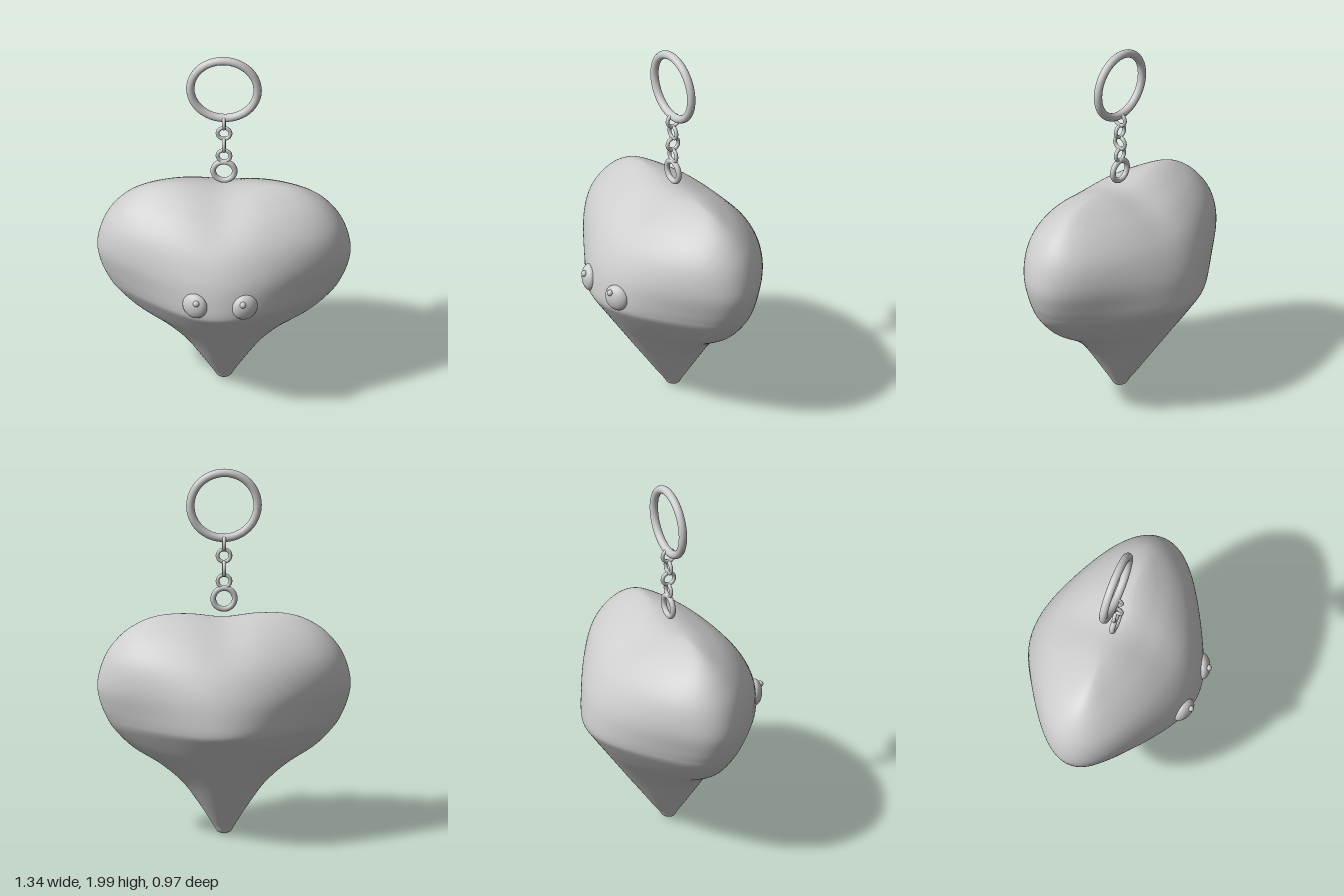
import * as THREE from 'three';
import { mergeVertices } from 'three/addons/utils/BufferGeometryUtils.js';

const grey = new THREE.MeshStandardMaterial({ color: 0xcccccc });
grey.name = 'plain grey';
const CENTRE_Z = -0.012;

// Level sections of the body: [half width, height, half depth]
const SECTIONS = [
  [0.002, 0.008, 0.002], [0.035, 0.018, 0.033], [0.055, 0.05, 0.054], [0.085, 0.1, 0.092],
  [0.15, 0.2, 0.163], [0.225, 0.3, 0.235], [0.34, 0.4, 0.305], [0.495, 0.5, 0.375],
  [0.59, 0.6, 0.445], [0.613, 0.636, 0.467], [0.625, 0.66, 0.472], [0.647, 0.71, 0.469],
  [0.67, 0.81, 0.449], [0.659, 0.9, 0.412], [0.62, 1.0, 0.349], [0.54, 1.1, 0.25],
  [0.445, 1.165, 0.15], [0.37, 1.194, 0.088], [0.29, 1.208, 0.038], [0.22, 1.211, 0],
];

// Heart-shaped body, lofted through round-ended lens sections with a notch on top
function bodyGeometry() {
  const { lerp, smoothstep } = THREE.MathUtils;
  const rows = 130, cols = 112, pos = [], index = [];
  const path = new THREE.CatmullRomCurve3(SECTIONS.map((s) => new THREE.Vector3(...s)));
  for (let i = 0; i <= rows; i++) {
    const p = path.getPoint(i / rows);
    // 1 gives an ellipse, lower values pinch the section towards its ends
    const round = lerp(0.95, 0.63, smoothstep(p.y, 0.1, 0.6)) + 0.32 * smoothstep(p.y, 0.65, 1.08);
    const notch = 0.026 * smoothstep(p.y, 0.9, 1.21);
    for (let j = 0; j < cols; j++) {
      const t = (j / cols) * Math.PI * 2, s = Math.sin(t), c = Math.cos(t);
      const bell = (Math.sign(c) * (1 + Math.cos(s * Math.PI))) / 2;
      const x = p.x * s;
      const z = Math.max(p.z, 0) * lerp(bell, c, round);
      pos.push(x, p.y - notch * Math.exp(-((x / 0.14) ** 2)), z + CENTRE_Z);
      if (i < rows) {
        const k = (j + 1) % cols, a = i * cols, b = a + cols;
        index.push(a + j, a + k, b + k, a + j, b + k, b + j);
      }
    }
  }
  const g = new THREE.BufferGeometry();
  g.setAttribute('position', new THREE.Float32BufferAttribute(pos, 3));
  g.setIndex(index);
  const merged = mergeVertices(g, 1e-4);
  merged.computeVertexNormals();
  return merged;
}

export function createModel() {
  const model = new THREE.Group();
  model.name = 'heartKeychain';

  const add = (name, geometry, x, y, z) => {
    const mesh = new THREE.Mesh(geometry, grey);
    mesh.name = name;
    mesh.position.set(x, y, z);
    model.add(mesh);
    return mesh;
  };

  add('body', bodyGeometry(), 0, 0, 0);
  // Small rounded nub at the point
  add('tip', new THREE.SphereGeometry(0.048, 24, 16), 0, 0.054, CENTRE_Z);

  // Flattened eyes with bead pupils
  for (const side of [1, -1]) {
    const name = side > 0 ? 'left' : 'right';
    const eye = add(name + 'Eye', new THREE.SphereGeometry(1, 32, 20), side * 0.132, 0.72, 0.427);
    eye.scale.set(0.07, 0.072, 0.042);
    eye.rotation.y = side * 0.4;
    add(name + 'Pupil', new THREE.SphereGeometry(0.017, 16, 12), side * 0.124, 0.756, 0.466);
  }

  // Key ring, hanging loop and the chain of links turned alternately
  const ring = (name, R, r, y) => add(name, new THREE.TorusGeometry(R, r, 16, 64), 0, y, CENTRE_Z);
  ring('keyRing', 0.178, 0.022, 1.8);
  ring('hangingLoop', 0.057, 0.015, 1.29);
  for (let i = 0; i < 4; i++) {
    const link = ring('chainLink' + (i + 1), 0.034, 0.01, 1.385 + i * 0.07);
    if (i % 2) link.rotation.y = Math.PI / 2;
  }
  return model;
}
